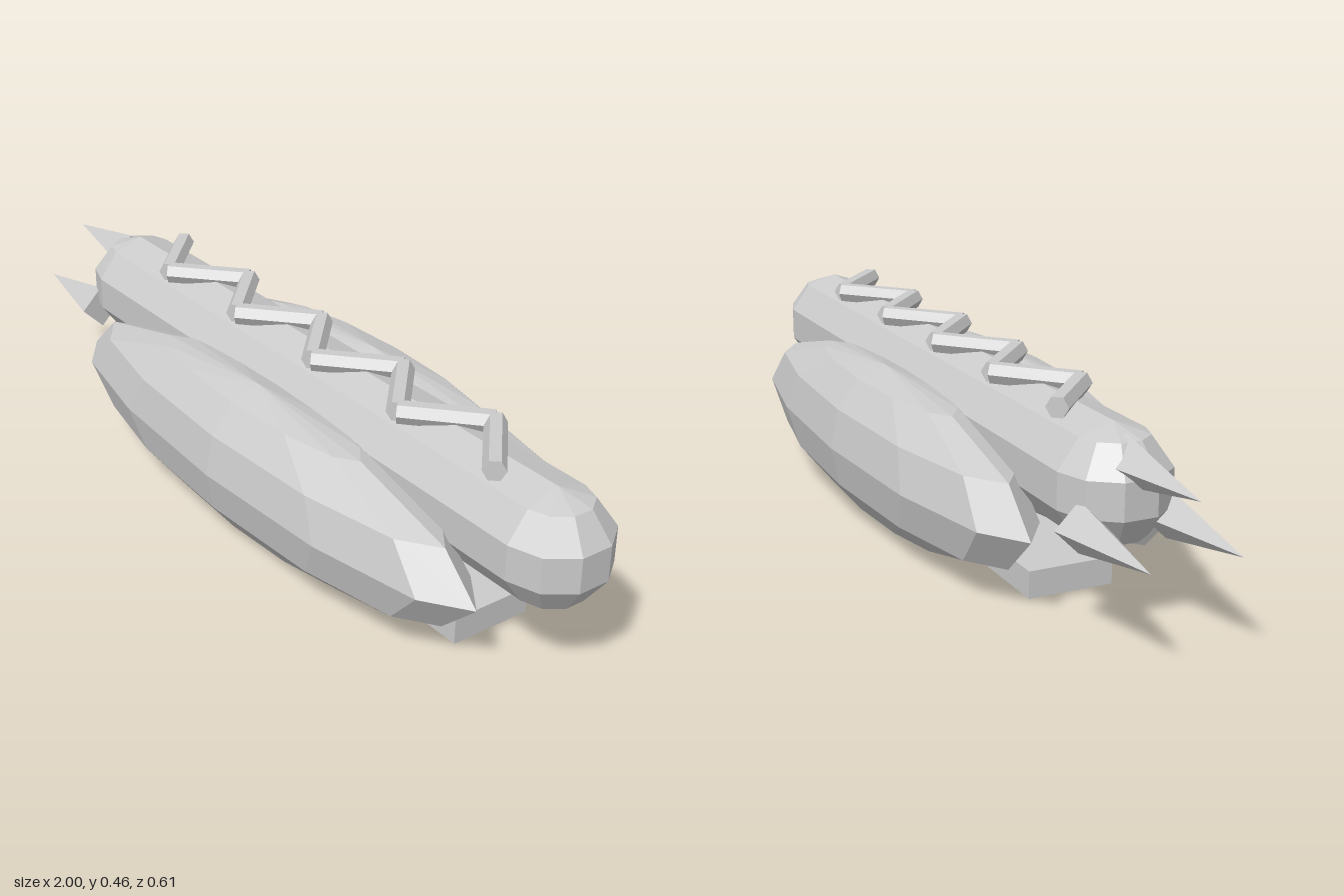
import * as THREE from 'three';

export function createModel() {
  const model = new THREE.Group();
  const material = new THREE.MeshStandardMaterial({ color: 0xcccccc, flatShading: true });
  const MID_X = 0.1; // shared centre of sausage, buns, base and sauce

  const add = (name, geometry, x, y, z, parent = model) => {
    const mesh = new THREE.Mesh(geometry, material);
    mesh.name = name;
    mesh.position.set(x, y, z);
    parent.add(mesh);
    return mesh;
  };

  // Sausage: ten-sided body with round ends
  const radius = 0.13, length = 1.56, sausageY = 0.302;
  const body = new THREE.CylinderGeometry(radius, radius, length, 10, 1, false, Math.PI / 2);
  add('sausageBody', body.rotateZ(Math.PI / 2), MID_X, sausageY, 0);
  for (const side of [-1, 1]) {
    const end = new THREE.SphereGeometry(radius, 10, 5, Math.PI / 2);
    add('sausageEnd', end, MID_X + side * length / 2, sausageY, 0);
  }

  // Bun halves: stretched spheres on either side
  for (const side of [-1, 1]) {
    const bun = new THREE.SphereGeometry(1, 12, 6).scale(0.75, 0.187, 0.144);
    add('bunHalf', bun, MID_X, 0.188, side * 0.163);
  }

  // Flat base between the buns
  add('base', new THREE.BoxGeometry(1.245, 0.062, 0.2), MID_X, 0.039, 0);

  // Zigzag sauce: six-sided rods laid end to end
  const sauce = new THREE.Group();
  sauce.name = 'sauceZigzag';
  model.add(sauce);
  const rods = 9, dx = 0.15, dz = 0.138;
  for (let i = 0; i < rods; i++) {
    const rod = new THREE.CylinderGeometry(0.025, 0.025, Math.hypot(dx, dz), 6);
    rod.rotateZ(Math.PI / 2);
    const mesh = add('sauceRod', rod, MID_X + (i - (rods - 1) / 2) * dx, 0.438, 0, sauce);
    mesh.rotation.y = Math.atan2(dz, dx) * (i % 2 ? 1 : -1);
  }

  // Three spikes pointing backwards from the tail
  for (const [y, z] of [[0.365, 0], [0.24, 0.1], [0.24, -0.1]]) {
    const spike = new THREE.ConeGeometry(0.055, 0.27, 4).rotateZ(Math.PI / 2);
    add('tailSpike', spike, -0.865, y, z);
  }

  return model;
}
